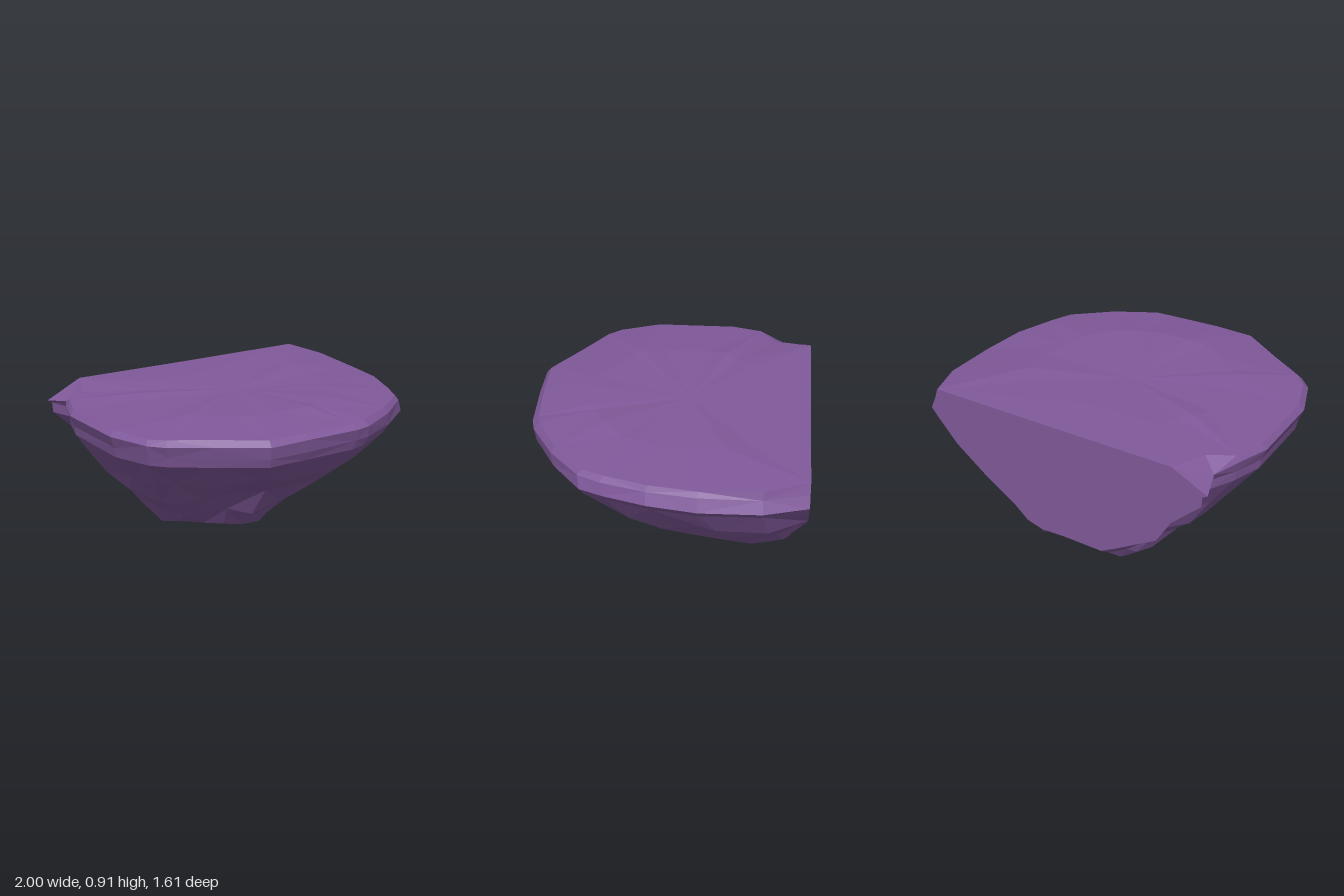
import * as THREE from 'three';

// Plan outline at the rim, from the back +x corner round the front to the back -x corner
const OUTLINE = [
  [0.91, -0.8], [0.99, -0.55], [1, -0.2], [0.96, 0.08], [0.88, 0.33], [0.82, 0.46],
  [0.59, 0.64], [0.34, 0.77], [0.25, 0.79], [-0.1, 0.8], [-0.34, 0.8], [-0.6, 0.63],
  [-0.82, 0.5], [-0.9, 0.42], [-0.99, 0.18], [-1, -0.3], [-0.94, -0.48], [-0.86, -0.64],
  [-0.91, -0.8], [0, -0.8],
];

// Horizontal sections going down: height, +x reach, -x reach, front reach, lift at the back
const SECTIONS = [
  [0.87, 0.95, 0.97, 0.775, 0.03],
  [0.84, 0.97, 0.995, 0.805, 0],
  [0.77, 1.0, 0.97, 0.79, 0],
  [0.715, 0.95, 0.96, 0.77, 0],
  [0.55, 0.84, 0.83, 0.58, 0],
  [0.38, 0.65, 0.72, 0.35, 0.03],
  [0.23, 0.45, 0.54, 0.2, 0.06],
  [0.1, 0.34, 0.43, 0.04, 0.13],
  [0.045, 0.22, 0.31, -0.17, 0.14],
];

// Repeatable value in -1..1 for each section and column
function noise(i, j) {
  const s = Math.sin(i * 127.1 + j * 311.7) * 43758.5453;
  return (s - Math.floor(s)) * 2 - 1;
}

function sectionLoop([y, right, left, front, lift], k) {
  const deep = Math.max(0, k - 3) / 5;
  const rough = k > 3 ? 0.025 : 0.004;
  return OUTLINE.map(([u, w], j) => {
    const back = THREE.MathUtils.clamp((-0.4 - w) / 0.4, 0, 1);
    const onCut = w === -0.8;
    // A groove runs down the front, beside an outcrop
    const groove = k > 4 && k < 7 ? (j === 10 ? -0.08 : j === 12 ? 0.04 : 0) : 0;
    const x = u * (u > 0 ? right : left) * (1 - 0.14 * back * Math.min(1, deep * 2));
    const z = -0.8 + (w + 0.8) * (front + 0.8) / 1.6;
    return new THREE.Vector3(
      x + noise(k, j) * rough,
      y + lift * back + noise(k + 20, j) * rough * (deep > 0.9 ? 0.4 : 1),
      onCut ? -0.8 : z + groove + noise(k + 40, j) * rough * 0.6,
    );
  });
}

function rockGeometry() {
  const loops = SECTIONS.map(sectionLoop);

  // Broken corner: the upper edge steps in at the back -x corner
  const rim = loops[0];
  rim[17].set(-0.77, 0.88, -0.58);
  rim[18].set(-0.69, 0.9, -0.8);
  loops[1][18].set(-0.91, 0.79, -0.8);
  loops[1][17].set(-0.86, 0.82, -0.64);

  // Gently uneven top surface, then the points closing top and bottom
  const plateau = rim.map((p, j) =>
    new THREE.Vector3(p.x * 0.6, 0.902 + 0.008 * noise(70, j), p.z * 0.6));
  const tip = (x, y, z) => rim.map(() => new THREE.Vector3(x, y, z));
  loops.unshift(tip(0, 0.893, -0.1), plateau);
  loops.push(tip(0.1, 0, -0.48));

  const positions = [];
  const face = (a, b, c) => {
    if (a.equals(b) || b.equals(c) || c.equals(a)) return;
    for (const p of [a, b, c]) positions.push(p.x, p.y, p.z);
  };
  for (let k = 0; k < loops.length - 1; k++) {
    const up = loops[k], low = loops[k + 1];
    for (let j = 0; j < up.length; j++) {
      const n = (j + 1) % up.length;
      if ((j + k) % 2) {
        face(up[j], up[n], low[j]);
        face(up[n], low[n], low[j]);
      } else {
        face(up[j], low[n], low[j]);
        face(up[j], up[n], low[n]);
      }
    }
  }
  const geometry = new THREE.BufferGeometry();
  geometry.setAttribute('position', new THREE.Float32BufferAttribute(positions, 3));
  geometry.computeVertexNormals();
  return geometry;
}

export function createModel() {
  const group = new THREE.Group();
  group.name = 'floatingRock';
  const material = new THREE.MeshStandardMaterial({ color: 0x80599a, flatShading: true });
  const rock = new THREE.Mesh(rockGeometry(), material);
  rock.name = 'rock';
  group.add(rock);
  return group;
}
